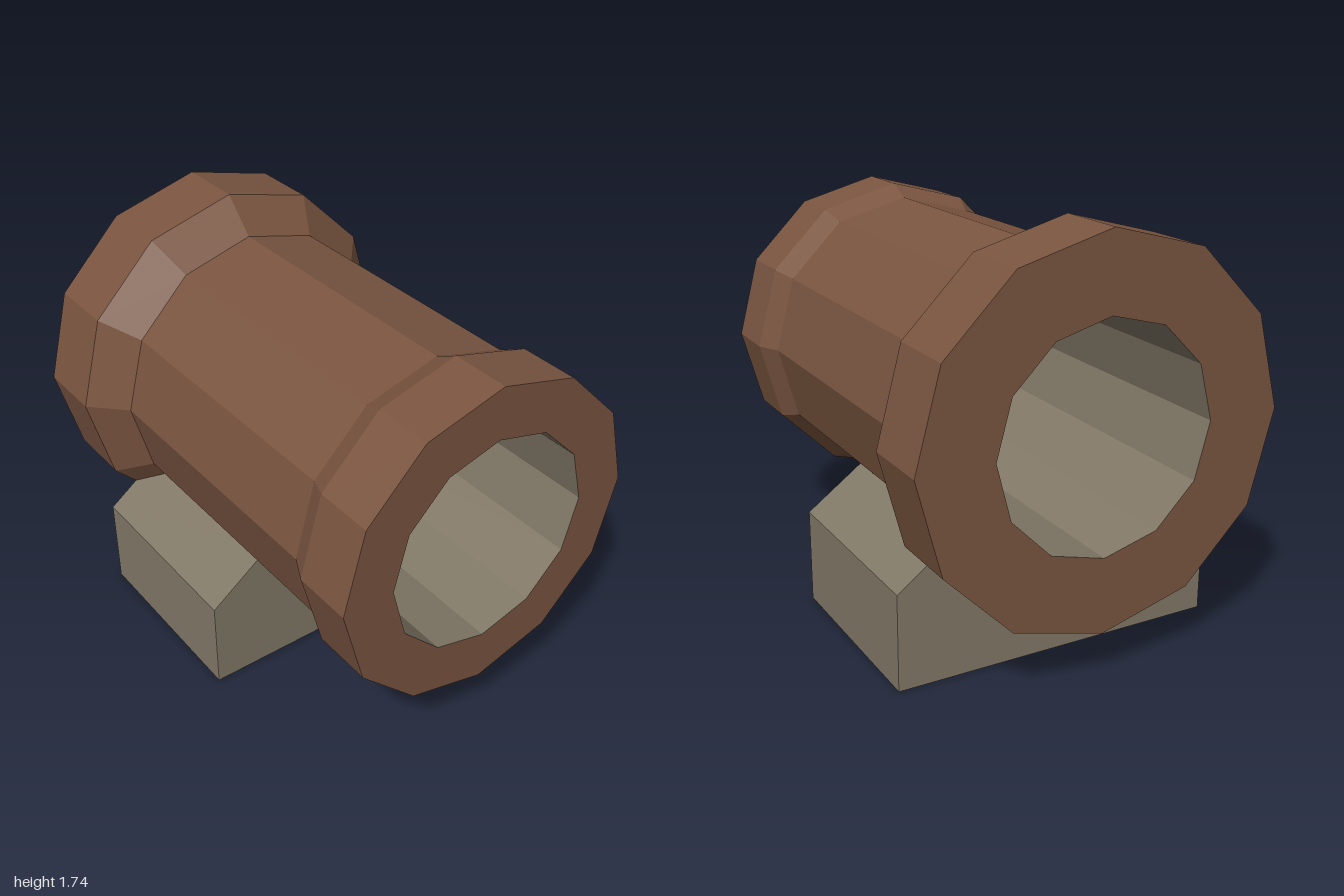
import * as THREE from 'three';

const AXIS_Y = 0.972; // height of the pipe's centre line
const SIDES = 12;
const BORE = 0.458;

// Faceted normals for a low-poly look
function faceted(geometry) {
  const g = geometry.index ? geometry.toNonIndexed() : geometry;
  g.computeVertexNormals();
  return g;
}

// Revolve [radius, z] pairs around the pipe's centre line
function revolve(name, profile, material) {
  const points = profile.map(([r, z]) => new THREE.Vector2(r, z));
  const g = new THREE.LatheGeometry(points, SIDES);
  g.rotateX(Math.PI / 2);
  g.translate(0, AXIS_Y, 0);
  const mesh = new THREE.Mesh(faceted(g), material);
  mesh.name = name;
  return mesh;
}

export function createModel() {
  const clay = new THREE.MeshStandardMaterial({ color: 0x7a5540 });
  clay.name = 'brown clay';
  const stone = new THREE.MeshStandardMaterial({ color: 0x827967 });
  stone.name = 'grey stone';

  const model = new THREE.Group();
  model.name = 'pipe on block';

  // Outer shell with end faces, wide back collar and slim front collar
  model.add(revolve('pipeShell', [
    [BORE, -1], [0.768, -1], [0.768, -0.7], [0.628, -0.56],
    [0.628, 0.65], [0.678, 0.75], [0.678, 1], [BORE, 1],
  ], clay));

  // Inside wall of the pipe
  model.add(revolve('pipeBore', [[BORE, 1], [BORE, -1]], stone));

  // Support block with sloped shoulders, its cradle hidden in the pipe wall
  const half = [[0.7, 0], [0.7, 0.4], [0.43, 0.597], [0.275, 0.496]];
  const outline = [
    ...half, [0, 0.422],
    ...half.map(([x, y]) => [-x, y]).reverse(),
  ].map(([x, y]) => new THREE.Vector2(x, y));
  const block = new THREE.ExtrudeGeometry(new THREE.Shape(outline), { depth: 0.86, bevelEnabled: false });
  block.translate(0, 0, -0.7);
  const support = new THREE.Mesh(faceted(block), stone);
  support.name = 'supportBlock';
  model.add(support);

  return model;
}
